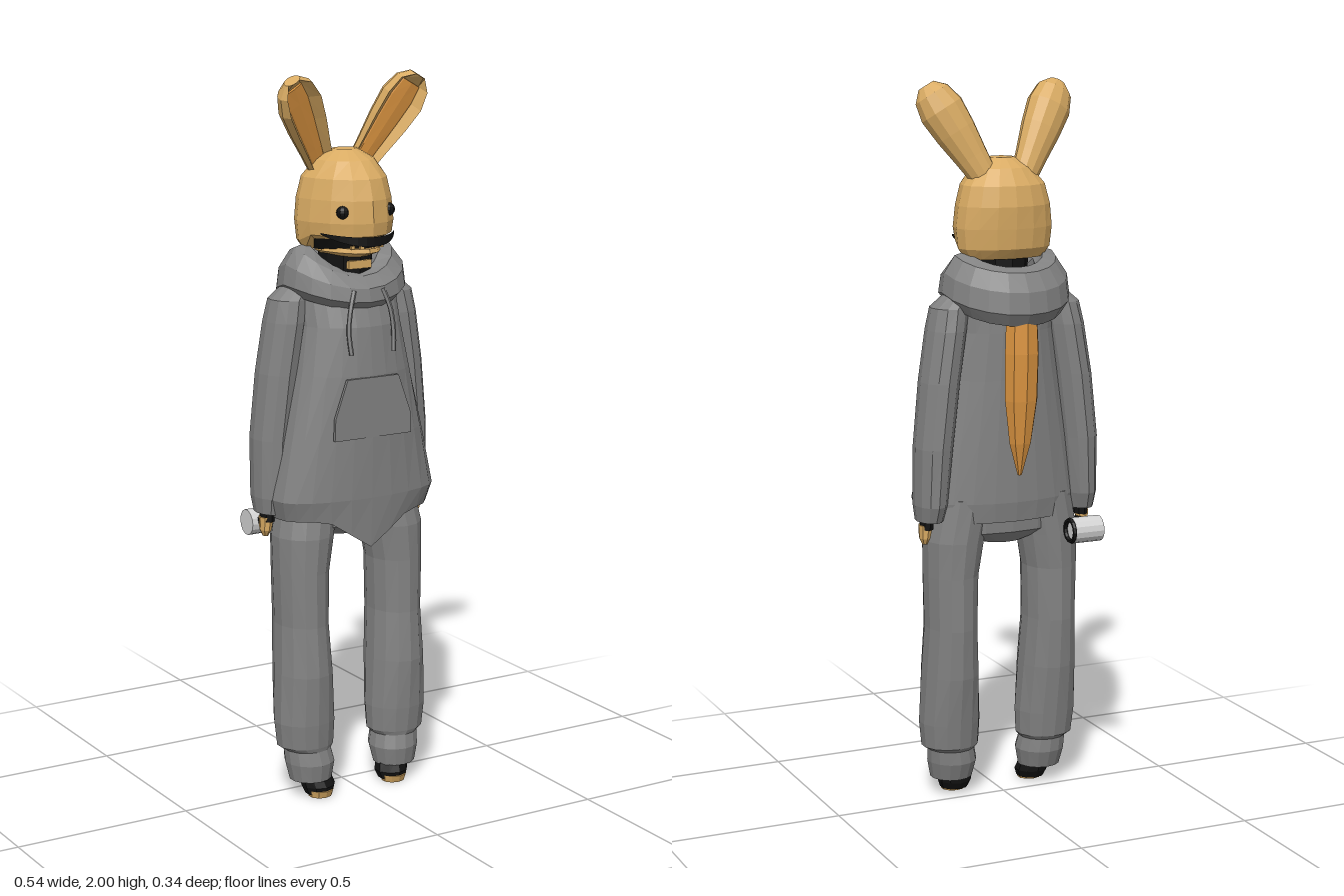
import * as THREE from 'three';

const mat = (name, color) => {
  const m = new THREE.MeshStandardMaterial({ color, flatShading: true, side: THREE.DoubleSide });
  m.name = name;
  return m;
};

// One cross-section: height, centre x, half width, front z, back z, centre z.
// tip > 1 points the front; warp(p, a) adjusts single points.
function ring(seg, y, cx, rx, zf, zb, zc = (zf + zb) / 2, tip = 1, warp) {
  const pts = [];
  for (let i = 0; i < seg; i++) {
    const a = (i / seg) * Math.PI * 2, c = Math.cos(a);
    const z = c > 0 ? zc + (zf - zc) * Math.pow(c, tip) : zc + (zc - zb) * c;
    const p = new THREE.Vector3(cx + rx * Math.sin(a), y, z);
    if (warp) warp(p, a);
    pts.push(p);
  }
  return pts;
}

// Skin over rings listed from bottom to top, capped unless it is a closed loop.
function loft(rings, closed = false) {
  const n = rings[0].length, pos = [], idx = [];
  rings.forEach(r => r.forEach(p => pos.push(p.x, p.y, p.z)));
  const last = closed ? rings.length : rings.length - 1;
  for (let i = 0; i < last; i++) for (let j = 0; j < n; j++) {
    const k = (j + 1) % n, u = (i + 1) % rings.length;
    const a = i * n + j, b = i * n + k, c = u * n + k, d = u * n + j;
    idx.push(a, b, c, a, c, d);
  }
  if (!closed) [0, rings.length - 1].forEach((r, top) => {
    const m = rings[r].reduce((s, p) => s.add(p), new THREE.Vector3()).divideScalar(n);
    const c = pos.length / 3;
    pos.push(m.x, m.y, m.z);
    for (let j = 0; j < n; j++) {
      const a = r * n + j, b = r * n + (j + 1) % n;
      top ? idx.push(a, b, c) : idx.push(b, a, c);
    }
  });
  const g = new THREE.BufferGeometry();
  g.setAttribute('position', new THREE.Float32BufferAttribute(pos, 3));
  g.setIndex(idx);
  g.computeVertexNormals();
  return g;
}

function mirrored(geo) {
  const g = geo.clone().scale(-1, 1, 1), ix = g.index;
  for (let i = 0; i < ix.count; i += 3) {
    const t = ix.getX(i);
    ix.setX(i, ix.getX(i + 1));
    ix.setX(i + 1, t);
  }
  g.computeVertexNormals();
  return g;
}

export function createModel() {
  const model = new THREE.Group();
  model.name = 'hoodedRabbit';
  const cloth = mat('greyCloth', 0x828282), fur = mat('tanFur', 0xd9ab63);
  const orange = mat('orangeFur', 0xdb9440), black = mat('black', 0x121212), white = mat('paleMetal', 0xd2d2d2);

  const add = (name, geo, m) => {
    const mesh = new THREE.Mesh(geo, m);
    mesh.name = name;
    model.add(mesh);
    return mesh;
  };
  const pair = (name, geo, m) => {
    add(name + 'Left', geo, m);
    add(name + 'Right', mirrored(geo), m);
  };
  const stack = (seg, rows) => loft(rows.map(r => ring(seg, ...r)));

  // Skull with the back of the head hanging lower than the face
  const nape = d => p => { if (p.z < 0.03) p.y -= d; };
  add('head', stack(16, [
    [1.562, 0, 0.115, 0.12, -0.06, 0, 1.3, nape(0.035)],
    [1.575, 0, 0.134, 0.163, -0.08, 0, 1.3, nape(0.02)],
    [1.61, 0, 0.14, 0.167, -0.086, 0, 1.3],
    [1.67, 0, 0.133, 0.162, -0.09, 0, 1.3],
    [1.725, 0, 0.118, 0.145, -0.08, 0, 1.2],
    [1.77, 0, 0.082, 0.1, -0.05, 0.01],
    [1.797, 0, 0.035, 0.05, -0.015, 0.015],
  ]), fur);
  add('mouth', stack(16, [
    [1.53, 0, 0.09, 0.125, -0.04, 0, 1.3],
    [1.567, 0, 0.118, 0.14, -0.05, 0, 1.3],
  ]), black);
  add('jaw', stack(16, [
    [1.513, 0, 0.06, 0.1, -0.03, 0.01],
    [1.528, 0, 0.09, 0.148, -0.03, 0.01, 1.3],
    [1.54, 0, 0.085, 0.145, -0.03, 0.01, 1.3],
  ]), fur);
  add('neck', stack(10, [[1.4, 0, 0.07, 0.09, -0.06], [1.53, 0, 0.075, 0.1, -0.06]]), black);
  add('throat', new THREE.BoxGeometry(0.07, 0.022, 0.02), fur).position.set(0, 1.492, 0.088);

  // Upturned grin wrapped around the muzzle
  const grin = [];
  for (let i = 0; i <= 12; i++) {
    const t = i / 6 - 1, a = t * 0.95;
    const x = 0.142 * Math.sin(a), z = 0.17 * Math.pow(Math.cos(a), 1.3);
    const y = 1.562 + 0.02 * t * t, h = 0.013 * (1 - 0.85 * t * t);
    grin.push([new THREE.Vector3(x, y - h, z), new THREE.Vector3(x, y + h, z)]);
  }
  const grinGeo = new THREE.BufferGeometry().setFromPoints(grin.flat());
  const gi = [];
  for (let i = 0; i < 12; i++) gi.push(2 * i, 2 * i + 2, 2 * i + 3, 2 * i, 2 * i + 3, 2 * i + 1);
  grinGeo.setIndex(gi);
  grinGeo.computeVertexNormals();
  add('grin', grinGeo, black);
  for (const i of [-2, -1, 1, 2])
    add('tooth', new THREE.BoxGeometry(0.012, 0.009, 0.008), fur).position.set(i * 0.022, 1.545, 0.152 - Math.abs(i) * 0.011);

  for (const s of [-1, 1]) {
    const eye = add('eye', new THREE.SphereGeometry(0.018, 10, 8), black);
    eye.position.set(s * 0.071, 1.64, 0.125);
  }

  // Ears: scooped shells leaning out and forward, with an orange lining
  const w = new THREE.Vector3(0.47, 0.84, 0.27).normalize();
  const v = new THREE.Vector3(-0.2, -0.2, 0.95);
  v.addScaledVector(w, -v.dot(w)).normalize();
  const u = new THREE.Vector3().crossVectors(w, v);
  const place = new THREE.Matrix4().makeBasis(u, w, v).setPosition(0.05, 1.73, -0.01);
  const earRows = [[0, 0.036], [0.08, 0.046], [0.16, 0.058], [0.23, 0.064], [0.28, 0.052], [0.308, 0.024]];
  const scoop = (p, a) => { if (Math.cos(a) > 0.8) p.z = -0.008; };
  pair('ear', stack(12, earRows.map(([y, r], i) =>
    [y, 0, r, r * 0.8, -r * 0.85, 0, 1, i < 5 ? scoop : undefined])).applyMatrix4(place), fur);
  pair('earLining', stack(8, earRows.slice(0, 5).map(([y, r]) =>
    [y, 0, r * 0.68, 0, -0.012, -0.01])).applyMatrix4(place), orange);

  // Hood lying round the neck, dipping to a V in front
  const hood = [];
  for (let i = 0; i < 20; i++) {
    const a = (i / 20) * Math.PI * 2, c = Math.cos(a), s = Math.sin(a), f = Math.max(0, c);
    const y = c > 0 ? 1.478 - 0.055 * Math.pow(f, 1.5) : 1.478 + 0.045 * c;
    const rv = c > 0 ? 0.072 - 0.024 * f : 0.072 + 0.006 * -c;
    const cz = c > 0 ? 0.105 * c : 0.125 * c;
    const sec = [];
    for (let j = 0; j < 8; j++) {
      const b = (j / 8) * Math.PI * 2 + 0.2, o = Math.cos(b) * 0.045;
      const lean = -Math.sin(b) * 0.018;
      sec.push(new THREE.Vector3(s * (0.135 + o + lean), y + Math.sin(b) * rv, cz + c * (o + lean)));
    }
    hood.push(sec.reverse());
  }
  add('hood', loft(hood, true), cloth);

  // Flared top with a pointed front hem
  const hem = p => { if (p.z > 0.08) p.y -= 0.085 * Math.max(0, 1 - Math.abs(p.x) / 0.13); };
  add('hoodieBody', stack(24, [
    [0.85, 0, 0.2, 0.12, -0.06, 0.03],
    [0.805, 0, 0.232, 0.157, -0.085, 0.04, 0.8, hem],
    [0.86, 0, 0.247, 0.164, -0.092, 0.05, 0.75],
    [1.03, 0, 0.212, 0.165, -0.09, 0.04, 0.75],
    [1.2, 0, 0.175, 0.162, -0.088, 0.03, 0.8],
    [1.33, 0, 0.15, 0.15, -0.088, 0.02, 0.85],
    [1.41, 0, 0.15, 0.125, -0.085, 0.01],
    [1.45, 0, 0.1, 0.09, -0.07, 0.01],
  ]), cloth);

  // Front pocket plate
  const ps = new THREE.Shape([[-0.12, 1.03], [0.12, 1.03], [0.118, 1.09], [0.08, 1.195], [-0.08, 1.195], [-0.118, 1.09]]
    .map(p => new THREE.Vector2(...p)));
  add('pocket', new THREE.ExtrudeGeometry(ps, { depth: 0.009, bevelEnabled: false }), cloth).position.z = 0.158;

  // Drawstrings
  for (const s of [-1, 1]) {
    const path = new THREE.CatmullRomCurve3([[0.045, 1.43, 0.14], [0.062, 1.38, 0.15], [0.07, 1.32, 0.155], [0.066, 1.26, 0.163]]
      .map(p => new THREE.Vector3(p[0] * s, p[1], p[2])));
    add('drawstring', new THREE.TubeGeometry(path, 6, 0.007, 5), cloth);
  }

  // Sleeves, wrists and hands
  pair('sleeve', stack(12, [
    [0.85, 0.225, 0.03, 0.03, -0.05],
    [0.815, 0.228, 0.036, 0.045, -0.062],
    [0.86, 0.226, 0.044, 0.055, -0.078],
    [1.02, 0.218, 0.052, 0.055, -0.085],
    [1.2, 0.198, 0.054, 0.06, -0.085],
    [1.34, 0.176, 0.054, 0.062, -0.08],
    [1.4, 0.165, 0.052, 0.055, -0.07],
    [1.44, 0.13, 0.04, 0.035, -0.05],
  ]), cloth);
  pair('wrist', stack(8, [[0.79, 0.235, 0.018, 0.022, -0.032], [0.85, 0.232, 0.02, 0.024, -0.036]]), black);
  pair('hand', stack(8, [
    [0.748, 0.24, 0.007, 0.004, -0.016],
    [0.765, 0.24, 0.015, 0.016, -0.026],
    [0.802, 0.237, 0.02, 0.02, -0.03],
  ]), fur);

  // Trousers gathered at the ankles
  add('trouserSeat', stack(14, [[0.735, 0, 0.06, 0.05, -0.03], [0.77, 0, 0.18, 0.1, -0.065], [0.87, 0, 0.19, 0.1, -0.07]]), cloth);
  pair('trouserLeg', stack(14, [
    [0.06, 0.135, 0.045, 0.1, 0.02],
    [0.05, 0.137, 0.06, 0.117, 0],
    [0.1, 0.137, 0.07, 0.125, -0.018],
    [0.138, 0.142, 0.067, 0.115, -0.018],
    [0.15, 0.146, 0.082, 0.118, -0.028],
    [0.22, 0.148, 0.087, 0.125, -0.038],
    [0.36, 0.149, 0.08, 0.132, -0.058],
    [0.5, 0.15, 0.072, 0.122, -0.066],
    [0.65, 0.15, 0.076, 0.12, -0.066],
    [0.75, 0.142, 0.086, 0.12, -0.07],
    [0.87, 0.12, 0.085, 0.1, -0.07],
  ]), cloth);

  // Feet with tan toes
  pair('foot', stack(10, [
    [0.008, 0.12, 0.04, 0.115, 0.04],
    [0.03, 0.12, 0.048, 0.12, 0.025],
    [0.07, 0.128, 0.044, 0.1, 0.02],
  ]), black);
  pair('toes', stack(10, [[0, 0.12, 0.034, 0.115, 0.055], [0.02, 0.12, 0.038, 0.123, 0.05]]), fur);

  // Long tail hanging down the back
  add('tail', stack(8, [
    [0.94, 0, 0.006, -0.1, -0.112],
    [1.03, 0, 0.032, -0.085, -0.135],
    [1.15, 0, 0.048, -0.08, -0.152],
    [1.28, 0, 0.05, -0.08, -0.16],
    [1.4, 0, 0.045, -0.08, -0.155],
  ]), orange);

  // Canister held behind the right hand
  const can = add('canister', new THREE.CylinderGeometry(0.036, 0.036, 0.085, 14), white);
  can.rotation.z = Math.PI / 2;
  can.position.set(-0.205, 0.765, -0.098);
  const rim = add('canisterRim', new THREE.TorusGeometry(0.03, 0.007, 6, 14), black);
  rim.rotation.y = Math.PI / 2;
  rim.position.set(-0.16, 0.765, -0.098);
  add('canisterGrip', new THREE.BoxGeometry(0.015, 0.016, 0.07), black).position.set(-0.222, 0.775, -0.04);

  return model;
}
